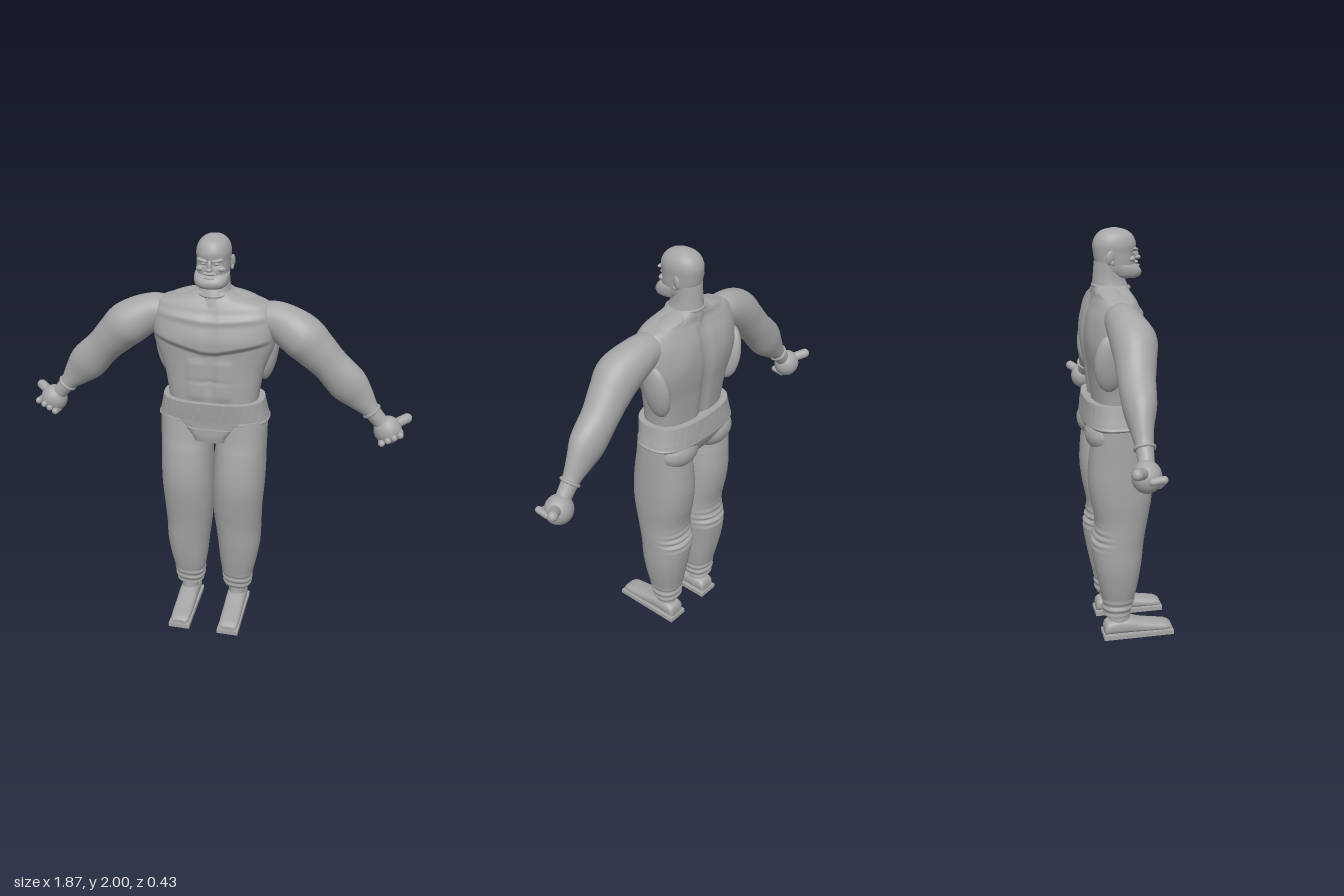
import * as THREE from 'three';

const grey = new THREE.MeshStandardMaterial({ color: 0xa6a6a6 });
grey.name = 'grey';

const step = (a, b, v) => THREE.MathUtils.smoothstep(v, a, b);
const bell = (v, w) => Math.exp(-(v * v) / (w * w));

// Smoothly interpolates rows of numbers (Catmull-Rom)
function smoothRows(rows, sub) {
  const out = [];
  for (let i = 0; i < rows.length - 1; i++) {
    const a = rows[Math.max(i - 1, 0)], b = rows[i], c = rows[i + 1], d = rows[Math.min(i + 2, rows.length - 1)];
    for (let k = 0; k < sub; k++) {
      const t = k / sub;
      out.push(b.map((_, j) => b[j] + 0.5 * t * (c[j] - a[j] + t * (2 * a[j] - 5 * b[j] + 4 * c[j] - d[j]
        + t * (3 * (b[j] - c[j]) + d[j] - a[j])))));
    }
  }
  out.push(rows[rows.length - 1]);
  return out;
}

// Skin over rings [x, y, z, radius across, radius in z]; tilt turns rings square to the path
function loft(rows, { sub = 6, sides = 48, power = 2, tilt = false, tweak = null } = {}) {
  const rings = smoothRows(rows, sub), pos = [], idx = [], p = new THREE.Vector3();
  rings.forEach(([x, y, z, ru, rv], i) => {
    const a = rings[Math.max(i - 1, 0)], b = rings[Math.min(i + 1, rings.length - 1)];
    const t = tilt ? new THREE.Vector2(b[0] - a[0], b[1] - a[1]).normalize() : new THREE.Vector2(0, 1);
    for (let j = 0; j < sides; j++) {
      const ang = (j / sides) * Math.PI * 2, c = Math.cos(ang), s = Math.sin(ang);
      const u = Math.sign(c) * Math.abs(c) ** (2 / power) * ru;
      const v = Math.sign(s) * Math.abs(s) ** (2 / power) * rv;
      p.set(x + t.y * u, y - t.x * u, z + v);
      if (tweak) tweak(p, s);
      pos.push(p.x, p.y, p.z);
    }
  });
  for (let i = 0; i < rings.length - 1; i++) for (let j = 0; j < sides; j++) {
    const a = i * sides + j, b = i * sides + (j + 1) % sides;
    idx.push(a, a + sides, b, b, a + sides, b + sides);
  }
  // End caps with their own corners, so the rims stay crisp
  for (const end of [0, rings.length - 1]) {
    const base = pos.length / 3, from = end * sides * 3;
    pos.push(...pos.slice(from, from + sides * 3), ...rings[end].slice(0, 3));
    for (let j = 0; j < sides; j++) {
      const k = base + j, n = base + (j + 1) % sides;
      idx.push(base + sides, end ? n : k, end ? k : n);
    }
  }
  const g = new THREE.BufferGeometry();
  g.setAttribute('position', new THREE.Float32BufferAttribute(pos, 3));
  g.setIndex(idx);
  g.computeVertexNormals();
  return g;
}

// Upright ring from height, half width, front z, back z
const up = ([y, rx, zf, zb], x = 0) => [x, y, (zf + zb) / 2, rx, (zf - zb) / 2];

export function createModel() {
  const model = new THREE.Group();
  const add = (name, geo) => {
    const m = new THREE.Mesh(geo, grey);
    m.name = name;
    model.add(m);
    return m;
  };
  const ball = (name, at, size, rot = [0, 0, 0]) => {
    const m = add(name, new THREE.SphereGeometry(1, 24, 16));
    m.position.set(...at);
    m.scale.set(...size);
    m.rotation.set(...rot);
  };
  const capsule = (name, a, b, r) => {
    const p = new THREE.Vector3(...a), q = new THREE.Vector3(...b), d = q.clone().sub(p);
    const m = add(name, new THREE.CapsuleGeometry(r, d.length(), 6, 14));
    m.position.copy(p).add(q).multiplyScalar(0.5);
    m.quaternion.setFromUnitVectors(new THREE.Vector3(0, 1, 0), d.normalize());
  };

  // Torso with chest, stomach and spine relief
  add('torso', loft([
    [1.19, .212, .06, -.165], [1.28, .222, .062, -.175], [1.37, .24, .06, -.185], [1.44, .265, .06, -.195],
    [1.50, .285, .062, -.198], [1.56, .29, .062, -.193], [1.62, .287, .058, -.182], [1.67, .27, .045, -.163],
    [1.70, .235, .03, -.15], [1.725, .13, .015, -.148], [1.745, .08, .005, -.145],
  ].map((r) => up(r)), { sub: 12, sides: 120, power: 2.7, tweak: (p, s) => {
    const ax = Math.abs(p.x), y = p.y;
    if (s > 0) {
      const low = 1.465 + 0.22 * ax;
      let d = 0.026 * step(low - .012, low + .02, y) * (1 - step(1.52, 1.66, y));
      d += 0.01 * bell(y - 1.625 - 0.08 * ax, .018);
      d -= 0.009 * bell(p.x, .012) * step(1.25, 1.3, y) * (1 - step(1.68, 1.72, y));
      const belly = step(1.22, 1.26, y) * (1 - step(1.41, 1.45, y));
      d += belly * (.007 * step(.012, .03, ax) * (1 - step(.09, .115, ax)) - .004 * bell(y - 1.33, .01) * bell(ax, .1));
      p.z += d * s;
    } else {
      p.z += -s * (0.016 * bell(p.x, .025) - 0.008 * bell(ax - .13, .06) * bell(y - 1.56, .08)) * (1 - step(1.64, 1.72, y));
    }
  } }));

  // Neck and collar
  add('neck', loft([[1.68, .11, .035, -.152], [1.73, .08, .02, -.15], [1.78, .068, 0, -.146], [1.85, .066, -.01, -.14]].map((r) => up(r))));
  const collar = add('collar', new THREE.TorusGeometry(1, .07, 8, 40));
  collar.rotation.x = Math.PI / 2 + .08;
  collar.scale.set(.083, .086, .11);
  collar.position.set(0, 1.737, -.063);

  // Head
  add('head', loft([
    [1.785, .055, .045, -.10], [1.81, .068, .05, -.125], [1.85, .074, .05, -.136], [1.89, .076, .05, -.143],
    [1.93, .077, .053, -.145], [1.965, .066, .038, -.13], [1.988, .042, .008, -.102], [2.0, .006, -.04, -.054],
  ].map((r) => up(r)), { power: 2.2, tweak: (p, s) => {
    if (s > 0) p.z -= .012 * bell(Math.abs(p.x) - .03, .018) * bell(p.y - 1.885, .014);
  } }));
  add('beard', loft([
    [1.775, .045, .055, -.03], [1.785, .068, .072, -.055], [1.805, .077, .077, -.065],
    [1.825, .079, .066, -.07], [1.838, .077, .05, -.07],
  ].map((r) => up(r)), { power: 2.4 }));
  ball('moustache', [0, 1.845, .05], [.034, .008, .014]);
  ball('mouth', [0, 1.829, .062], [.024, .005, .01]);
  ball('noseBridge', [0, 1.882, .053], [.01, .026, .014], [-.25, 0, 0]);
  ball('noseTip', [0, 1.865, .062], [.015, .01, .015]);

  // Shirt waist and trousers
  add('trouserHips', loft([
    [1.015, .07, .045, -.15], [1.06, .16, .066, -.185], [1.11, .262, .07, -.208],
    [1.13, .264, .072, -.209], [1.17, .254, .078, -.205], [1.225, .243, .085, -.2],
  ].map((r) => up(r)), { sides: 96, power: 2.7, tweak: (p, s) => {
    // Gathered pleats under the waistband
    p.z += Math.sin(p.x * 190) * .0025 * s * step(1.13, 1.16, p.y) * (1 - step(1.19, 1.21, p.y));
  } }));
  add('fly', loft([[1.02, .075, .073, -.03], [1.05, .085, .079, -.03], [1.09, .12, .08, -.03]].map((r) => up(r)), { power: 4 }));

  for (const s of [1, -1]) {
    const side = s > 0 ? 'left' : 'right';
    // Face and ears
    ball(side + 'Brow', [s * .034, 1.904, .045], [.028, .008, .014], [0, s * .35, s * .16]);
    ball(side + 'Eye', [s * .03, 1.886, .036], [.013, .007, .009]);
    ball(side + 'Cheek', [s * .045, 1.862, .026], [.022, .014, .016]);
    ball(side + 'Ear', [s * .078, 1.872, -.078], [.009, .031, .021], [.15, s * -.3, 0]);
    ball(side + 'EarLobe', [s * .079, 1.848, -.068], [.007, .012, .01]);

    // Broad back muscle at the flank and the neck muscle
    ball(side + 'Flank', [s * .252, 1.43, -.115], [.04, .135, .07], [0, 0, s * -.16]);
    ball(side + 'NeckMuscle', [s * .11, 1.712, -.085], [.12, .026, .055], [0, 0, s * -.22]);

    // Arm
    add(side + 'Arm', loft([
      [.17, 1.63, -.065, .05, .065], [.28, 1.62, -.06, .083, .08], [.40, 1.56, -.04, .104, .1],
      [.475, 1.492, -.045, .095, .09], [.545, 1.42, -.055, .085, .08], [.63, 1.33, -.06, .091, .07],
      [.69, 1.265, -.065, .068, .05], [.742, 1.207, -.066, .042, .038], [.80, 1.14, -.07, .036, .034],
    ].map(([x, ...r]) => [s * x, ...r]), { tilt: true }));
    const cuff = add(side + 'Cuff', new THREE.TorusGeometry(.04, .008, 8, 28));
    cuff.position.set(s * .748, 1.2, -.066);
    cuff.rotation.set(Math.PI / 2, s * .72, 0, 'ZXY');

    // Hand with curled fingers and an outstretched thumb
    ball(side + 'Palm', [s * .828, 1.108, -.075], [.066, .068, .062]);
    capsule(side + 'Thumb', [s * .85, 1.13, -.085], [s * .912, 1.15, -.13], .024);
    for (let i = 0; i < 4; i++) {
      const x = .805 + i * .027, y = 1.055 + i * .017;
      capsule(side + 'Finger' + (i + 1), [s * x, y, -.065], [s * (x + .002), y + .006, -.018], .0165);
    }

    // Trouser leg with folds behind the knee and at the ankle: y, outer x, inner x, front, back
    add(side + 'TrouserLeg', loft([
      [.13, .195, .058, .002, -.128], [.165, .202, .052, .012, -.133], [.21, .205, .048, .022, -.136],
      [.3, .225, .035, .04, -.155], [.4, .24, .025, .055, -.175], [.5, .243, .013, .066, -.188],
      [.56, .245, .007, .074, -.176], [.64, .248, .003, .088, -.17], [.75, .256, .001, .104, -.19],
      [.85, .259, .003, .103, -.2], [.95, .259, .01, .09, -.195], [1.02, .26, .018, .075, -.187], [1.13, .26, .02, .06, -.18],
    ].map(([y, xo, xi, zf, zb]) => up([y, (xo - xi) / 2, zf, zb], s * (xo + xi) / 2)), { sub: 10, power: 2.25, tweak: (p, k) => {
      const cx = s * .13, ankle = 1 - step(.2, .24, p.y);
      const fold = 1 + .045 * ankle * Math.sin(p.y * 170 + p.x * 12);
      p.x = cx + (p.x - cx) * fold;
      p.z = -.06 + (p.z + .06) * fold;
      if (k < 0) p.z += k * .008 * Math.sin((p.y + p.x * s * .05) * 190) * bell(p.y - .555, .045);
    } }));
    ball(side + 'Seat', [s * .125, 1.075, -.13], [.115, .085, .082]);
    const pocket = add(side + 'Pocket', new THREE.CapsuleGeometry(.004, .09, 4, 8));
    pocket.position.set(s * .185, 1.122, .045);
    pocket.rotation.set(0, s * .45, Math.PI / 2);

    // Ankle, shoe and sole
    add(side + 'Ankle', loft([[.05, .05, .02, -.12], [.09, .043, .005, -.105], [.15, .043, 0, -.1]].map((r) => up(r, s * .127))));
    const shoe = loft([
      [-.128, .036, -.018, -.06], [-.115, .046, -.018, -.085], [-.06, .05, -.018, -.1], [0, .05, -.018, -.098],
      [.06, .05, -.018, -.08], [.13, .05, -.018, -.066], [.185, .047, -.018, -.056], [.212, .036, -.018, -.042],
    ].map((r) => up(r, s * .127)), { power: 2.6 });
    shoe.rotateX(Math.PI / 2);
    add(side + 'Shoe', shoe);
    const sole = add(side + 'Sole', new THREE.BoxGeometry(.108, .022, .355));
    sole.position.set(s * .127, .011, .0425);
  }
  return model;
}
